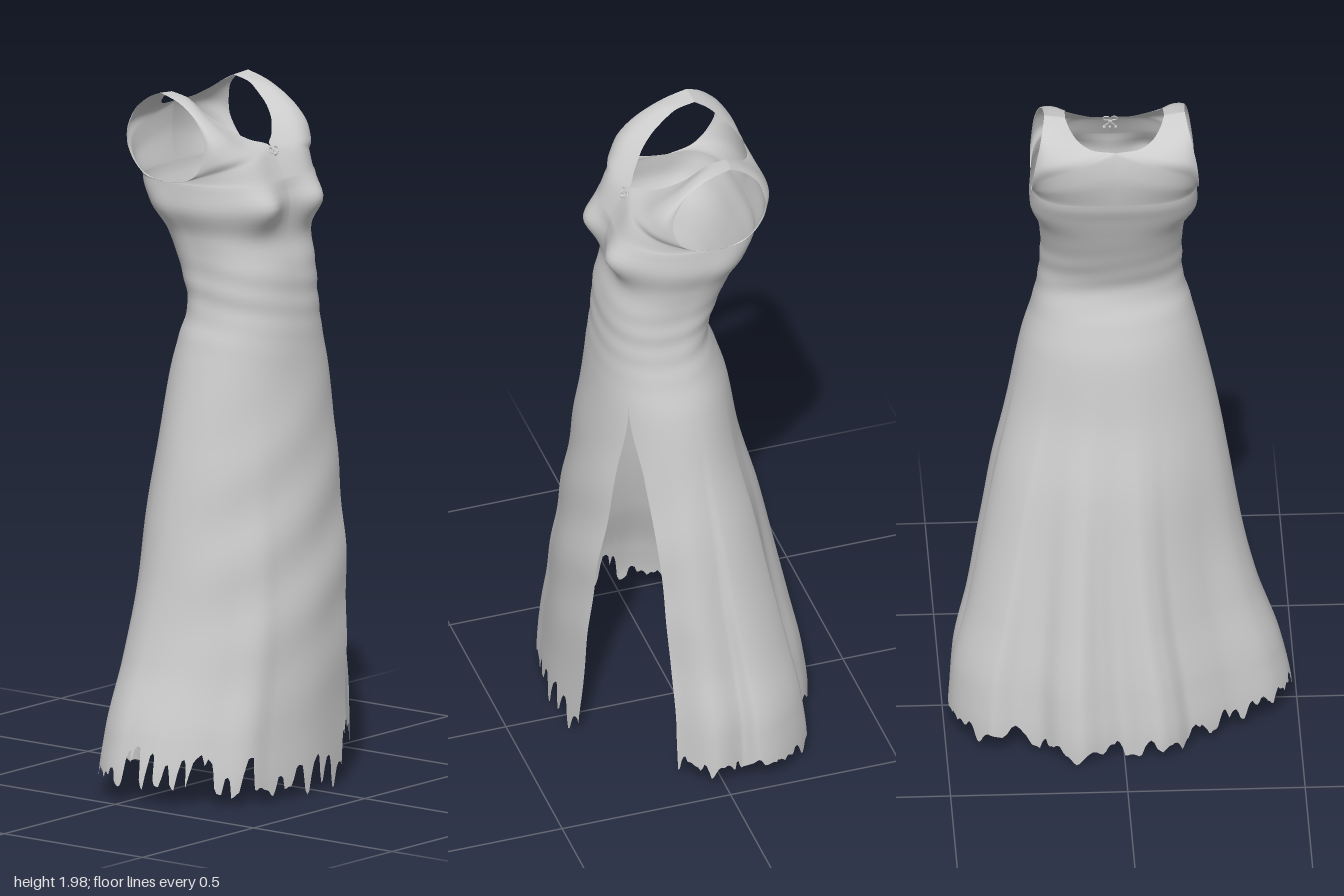
import * as THREE from 'three';
import { mergeVertices } from 'three/addons/utils/BufferGeometryUtils.js';

const TOP = 1.755, HEM = 0.05, COLS = 320, ROWS = 110, CX = 0.0185;
const { lerp, clamp } = THREE.MathUtils;

// Smooth, overshoot-free interpolation of rows [key, ...values]
function table(rows) {
  const slope = (i, k) => {
    if (i === 0 || i === rows.length - 1) return 0;
    const d0 = (rows[i][k] - rows[i - 1][k]) / (rows[i][0] - rows[i - 1][0]);
    const d1 = (rows[i + 1][k] - rows[i][k]) / (rows[i + 1][0] - rows[i][0]);
    return d0 * d1 <= 0 ? 0 : (2 * d0 * d1) / (d0 + d1);
  };
  return (x) => {
    x = clamp(x, rows[0][0], rows[rows.length - 1][0]);
    let i = 0;
    while (i < rows.length - 2 && x > rows[i + 1][0]) i++;
    const h = rows[i + 1][0] - rows[i][0], s = (x - rows[i][0]) / h;
    return rows[i].slice(1).map((p, n) => {
      const q = rows[i + 1][n + 1];
      const m0 = slope(i, n + 1) * h, m1 = slope(i + 1, n + 1) * h;
      const s2 = s * s, s3 = s2 * s;
      return p * (2 * s3 - 3 * s2 + 1) + m0 * (s3 - 2 * s2 + s) + q * (3 * s2 - 2 * s3) + m1 * (s3 - s2);
    });
  };
}

// Body sections: y, right x, left x, front z, back z, side-seam z, squareness
const section = table([
  [0.05, -0.482, 0.48, 0.342, -0.33, 0, 2],
  [0.2, -0.455, 0.472, 0.338, -0.315, 0, 2],
  [0.4, -0.388, 0.43, 0.335, -0.28, 0.01, 2],
  [0.6, -0.342, 0.395, 0.325, -0.245, 0.03, 2],
  [0.8, -0.31, 0.36, 0.305, -0.21, 0.04, 2],
  [1.0, -0.275, 0.315, 0.285, -0.163, 0.05, 2],
  [1.2, -0.23, 0.275, 0.26, -0.13, 0.06, 2.1],
  [1.3, -0.205, 0.245, 0.25, -0.1, 0.06, 2.2],
  [1.4, -0.18, 0.225, 0.24, -0.07, 0.06, 2.3],
  [1.5, -0.178, 0.22, 0.23, -0.1, 0.05, 2.4],
  [1.6, -0.185, 0.23, 0.205, -0.14, 0.02, 2.5],
  [1.69, -0.218, 0.255, 0.212, -0.175, -0.03, 2.8],
  [TOP, -0.215, 0.252, 0.2, -0.197, -0.05, 3],
]);

// Hem folds: angle in degrees (90 is the front), radius factor
const folds = table([
  [-180, 1.01], [-162, 0.975], [-137, 0.85], [-117, 0.88], [-108, 0.975], [-102, 1.02], [-97, 0.98],
  [-90, 0.92], [-83, 0.99], [-76, 1.1], [-70, 1.07], [-59, 0.975], [-52, 1.02], [-46, 1.13], [-32, 1.11],
  [-16, 1.06], [-9, 0.97], [5, 1.0], [24, 0.91], [50, 0.95], [78, 0.98], [98, 1.03], [115, 1.06],
  [124, 1.1], [138, 1.05], [160, 1.03], [180, 1.01],
]);

// Slit: y, angle of the front edge, angle of the rear edge
const slit = table([[0, 76, 23], [0.2, 74, 24], [0.6, 66, 24], [1.0, 53, 33], [1.22, 45, 45]]);

// Point of the cloth at an angle and height
function cloth(deg, y) {
  if (deg > 180) deg -= 360;
  const [xr, xl, zf, zb, zc, n] = section(y);
  const t = deg * Math.PI / 180, c = Math.cos(t), s = Math.sin(t);
  let r = Math.pow(Math.abs(c) ** n + Math.abs(s) ** n, -1 / n);
  const w = THREE.MathUtils.smoothstep(1.25 - y, 0, 1.2);
  r *= 1 + w * (folds(deg)[0] - 1);
  r += 0.009 * Math.exp(-(((y - 1.43) / 0.1) ** 2)) * Math.sin(y * 85 + 3 * c + 2 * s);
  r += 0.014 * Math.max(0, s) * Math.exp(-(((y - 0.75) / 0.35) ** 2)) * Math.sin(y * 24 - 5 * c);
  const x = (xl + xr) / 2 + (xl - xr) / 2 * c * r;
  let z = zc + (s > 0 ? zf - zc : zc - zb) * s * r;
  if (s > 0) {
    z += 0.045 * s * Math.exp(-(((Math.abs(x - CX) - 0.115) / 0.065) ** 2) - ((y - 1.69) / 0.06) ** 2);
  }
  return [x, y, z];
}

// Ragged hem height by angle, deepest tatters at the front
let seed = 7;
const rand = () => (seed = (seed * 16807) % 2147483647) / 2147483647;
const notches = Array.from({ length: 44 }, (_, i) => {
  const at = 78 + 7 * (i + rand() * 0.8);
  return { at, width: 1.3 + 1.8 * rand(), depth: (at < 195 ? 0.11 : 0.04) * (0.25 + 0.75 * rand()) };
});
function hemHeight(deg) {
  const c = Math.cos(deg * Math.PI / 180);
  let h = 0.03 + 0.05 * c * c + 0.013 * Math.sin(deg * 0.37) + 0.007 * Math.sin(deg * 0.9);
  let cut = 0;
  for (const k of notches) cut = Math.max(cut, k.depth * Math.exp(-(((deg - k.at) / k.width) ** 4)));
  return Math.max(0, h) + cut;
}

// Neckline and armhole edges: step to the shoulder, offset from centre, y, z
const start = cloth(90, TOP), startBack = cloth(270, TOP), armpit = cloth(0, TOP);
const edge = (pts) => table(pts.map((p, i) => [i / (pts.length - 1), ...p]));
const frontNeck = edge([[0, TOP, start[2]], [0, 1.845, 0.145], [0.05, 1.868, 0.108], [0.1, 1.905, 0.065],
  [0.13, 1.945, 0.01], [0.138, 1.985, -0.05], [0.14, 1.994, -0.1]]);
const backNeck = edge([[0, TOP, startBack[2]], [0, 1.85, -0.212], [0, 1.93, -0.2], [0.06, 1.934, -0.19],
  [0.105, 1.952, -0.165], [0.13, 1.978, -0.13], [0.14, 1.994, -0.1]]);
const pit = [armpit[0] - CX, TOP, armpit[2]];
const frontArm = edge([pit, [0.232, 1.765, 0.02], [0.23, 1.8, 0.07], [0.222, 1.86, 0.085],
  [0.21, 1.93, 0.05], [0.2, 1.982, -0.03], [0.198, 2, -0.095]]);
const backArm = edge([pit, [0.236, 1.765, -0.11], [0.235, 1.81, -0.165], [0.23, 1.87, -0.19],
  [0.215, 1.94, -0.175], [0.203, 1.985, -0.13], [0.198, 2, -0.095]]);

// Yoke point: ruled from neckline to armhole, keeping the fullness of the chest below
function yoke(quarter, k, s) {
  const front = quarter < 2, side = quarter === 0 || quarter === 3 ? 1 : -1;
  const v = quarter % 2 ? k : 1 - k;
  const neck = front ? frontNeck : backNeck, arm = front ? frontArm : backArm;
  const ruled = (step) => {
    const a = neck(step), b = arm(step);
    return [CX + side * lerp(a[0], b[0], v), lerp(a[1], b[1], v), lerp(a[2], b[2], v)];
  };
  const base = cloth(90 * (quarter + k), TOP), base0 = ruled(0), p = ruled(s);
  return p.map((value, i) => value + (base[i] - base0[i]) * (1 - s));
}

function createDressGeometry() {
  const positions = [], indices = [];
  const addGrid = (cols, rows, point) => {
    const first = positions.length / 3;
    for (let j = 0; j <= rows; j++) for (let i = 0; i <= cols; i++) positions.push(...point(i, j));
    for (let j = 0; j < rows; j++) for (let i = 0; i < cols; i++) {
      const a = first + j * (cols + 1) + i, b = a + 1, c = a + cols + 1, d = c + 1;
      indices.push(a, c, b, b, c, d);
    }
  };
  // Skirt and bodice, running from one slit edge round to the other
  const angle = (i, y) => {
    const [f, r] = slit(y);
    return f + (r + 360 - f) * (i / COLS);
  };
  addGrid(COLS, ROWS, (i, j) => {
    if (j === ROWS) return cloth(angle(i, TOP), TOP);
    const level = lerp(HEM, TOP, j / ROWS);
    const fade = Math.max(0, 1 - (level - HEM) / 0.5) ** 2;
    const y = level + (hemHeight(angle(i, HEM)) - HEM) * fade;
    return cloth(angle(i, y), y);
  });
  // Four yoke quarters meeting at the shoulders
  for (let q = 0; q < 4; q++) addGrid(COLS / 4, 30, (i, j) => yoke(q, i / (COLS / 4), j / 30));

  const geometry = new THREE.BufferGeometry();
  geometry.setAttribute('position', new THREE.Float32BufferAttribute(positions, 3));
  geometry.setIndex(indices);
  const welded = mergeVertices(geometry, 1e-4);
  welded.computeVertexNormals();
  return welded;
}

// Small clasp of rings and beads under the neckline
function createClasp(material) {
  const clasp = new THREE.Group();
  clasp.name = 'clasp';
  const add = (name, geometry, x, y, z, turn = 0) => {
    const mesh = new THREE.Mesh(geometry, material);
    mesh.name = name;
    mesh.position.set(x, y, z);
    mesh.rotation.set(-0.5, 0, turn);
    clasp.add(mesh);
  };
  for (const side of [-1, 1]) {
    add('claspRing', new THREE.TorusGeometry(0.009, 0.0025, 8, 16), side * 0.011, -0.012, 0.004);
    add('claspBar', new THREE.CapsuleGeometry(0.003, 0.03, 4, 8), side * 0.005, -0.034, 0.013, side * 0.6);
    add('claspBead', new THREE.SphereGeometry(0.005, 10, 8), side * 0.016, -0.05, 0.021);
  }
  add('claspBead', new THREE.SphereGeometry(0.006, 10, 8), 0, -0.022, 0.012);
  add('claspDrop', new THREE.CapsuleGeometry(0.004, 0.014, 4, 8), 0, -0.058, 0.027);
  clasp.position.set(CX, 1.848, 0.15);
  return clasp;
}

export function createModel() {
  const model = new THREE.Group();
  model.name = 'dress';
  const material = new THREE.MeshStandardMaterial({ color: 0xcccccc, side: THREE.DoubleSide });
  const gown = new THREE.Mesh(createDressGeometry(), material);
  gown.name = 'gown';
  model.add(gown, createClasp(material));
  return model;
}
